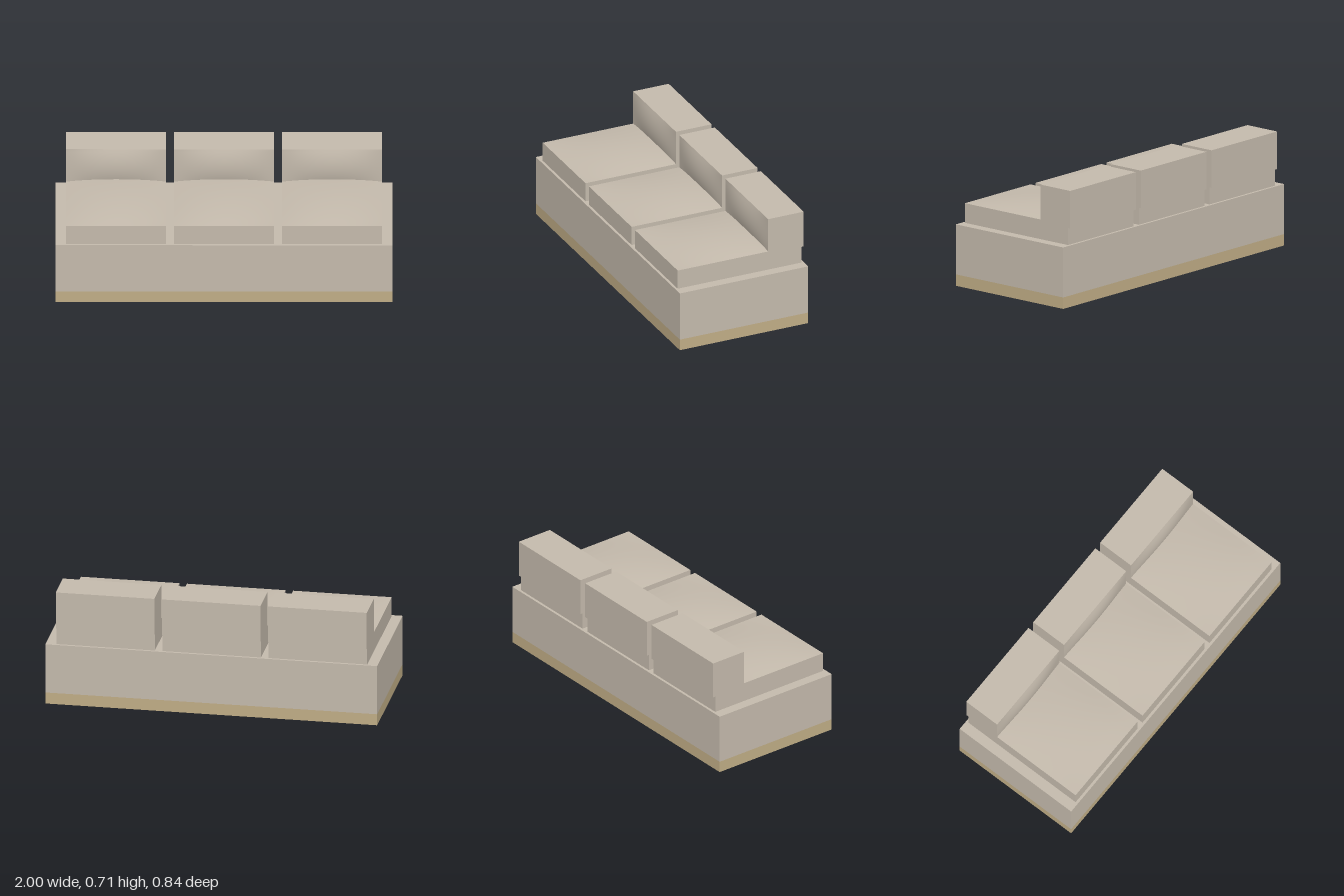
import * as THREE from 'three';

const fabric = new THREE.MeshStandardMaterial({ color: 0xc4baac });
const wood = new THREE.MeshStandardMaterial({ color: 0xc0ad86 });

// Adds a named mesh to a parent
function add(parent, name, geometry, material, x, y, z) {
  const mesh = new THREE.Mesh(geometry, material);
  mesh.name = name;
  mesh.position.set(x, y, z);
  parent.add(mesh);
  return mesh;
}

// Box whose +axis face bulges outward, falling to nothing at its edges
function cushion(size, axis, bulge) {
  const segs = size.map((s, i) => (i === axis ? 1 : 12));
  const geo = new THREE.BoxGeometry(...size, ...segs);
  const p = geo.attributes.position;
  for (let i = 0; i < p.count; i++) {
    const v = [p.getX(i), p.getY(i), p.getZ(i)];
    if (v[axis] <= 0) continue;
    let k = 1;
    for (let a = 0; a < 3; a++) if (a !== axis) k *= 1 - (2 * v[a] / size[a]) ** 2;
    v[axis] += bulge * k;
    p.setXYZ(i, ...v);
  }
  geo.computeVertexNormals();
  return geo;
}

function rectangle(target, w, d) {
  target.moveTo(-w / 2, -d / 2);
  target.lineTo(w / 2, -d / 2);
  target.lineTo(w / 2, d / 2);
  target.lineTo(-w / 2, d / 2);
  target.closePath();
  return target;
}

export function createModel() {
  const sofa = new THREE.Group();
  sofa.name = 'sofa';

  // Wooden plinth: an open rectangular frame
  const outline = rectangle(new THREE.Shape(), 2, 0.842);
  outline.holes.push(rectangle(new THREE.Path(), 1.812, 0.654));
  const frame = new THREE.ExtrudeGeometry(outline, { depth: 0.07, bevelEnabled: false });
  frame.rotateX(-Math.PI / 2);
  add(sofa, 'plinthFrame', frame, wood, 0, 0, 0);

  // Upholstered base
  add(sofa, 'base', new THREE.BoxGeometry(2, 0.306, 0.842), fabric, 0, 0.223, 0);

  // Three places, each with a seat and a back cushion
  const seatGeo = cushion([0.594, 0.12, 0.81], 1, 0.027);
  const backGeo = cushion([0.594, 0.23, 0.233], 2, 0.022);
  for (const [i, side] of ['right', 'middle', 'left'].entries()) {
    const place = new THREE.Group();
    place.name = side + 'Place';
    place.position.x = (i - 1) * 0.64;
    add(place, 'seatCushion', seatGeo, fabric, 0, 0.436, 0);
    add(place, 'backCushion', backGeo, fabric, 0, 0.595, -0.3045);
    sofa.add(place);
  }
  return sofa;
}
